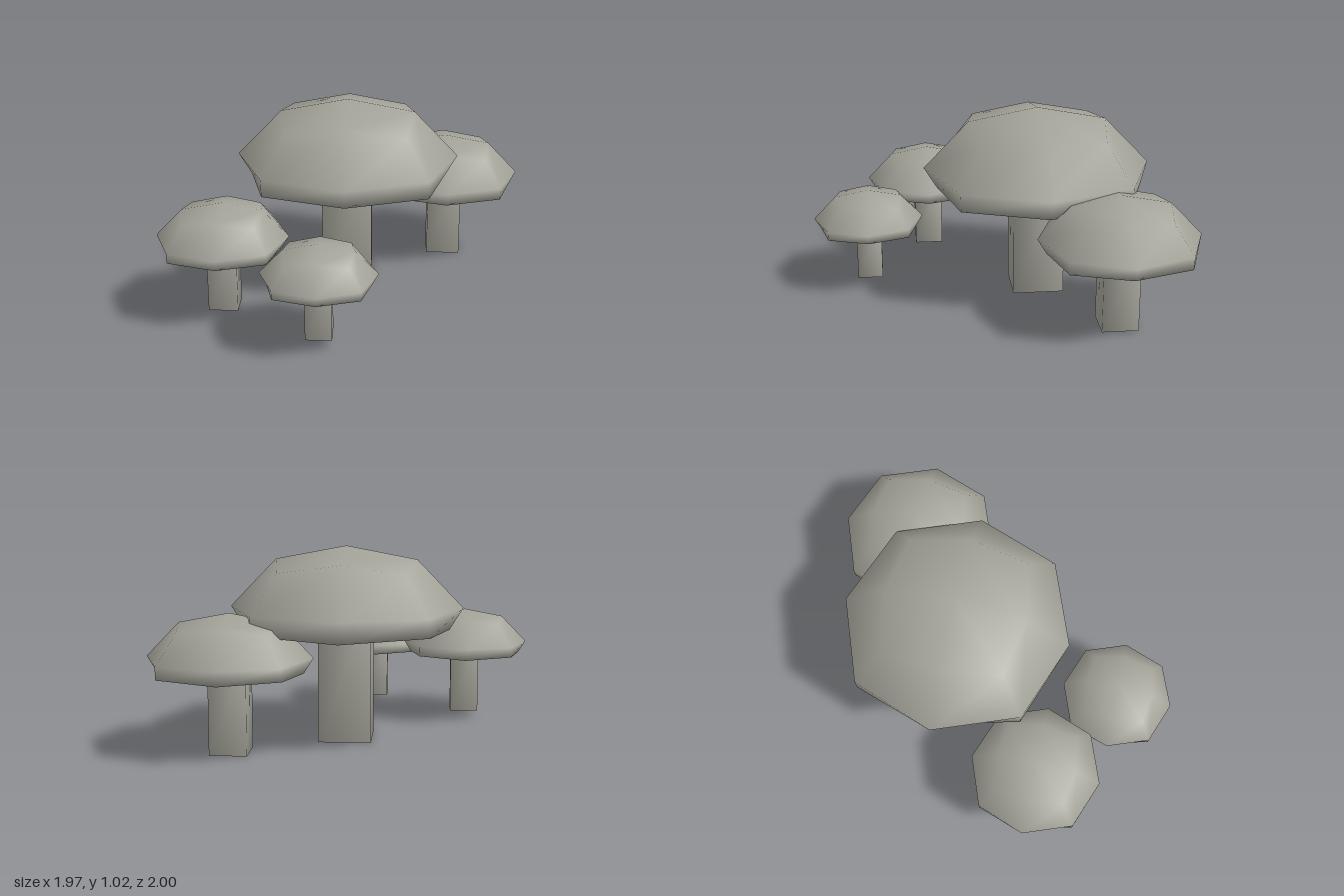
import * as THREE from 'three';
import { mergeVertices } from 'three/addons/utils/BufferGeometryUtils.js';

// Weld all corners so the normals run smoothly around the whole shape
function smooth(geometry) {
  geometry.deleteAttribute('normal');
  geometry.deleteAttribute('uv');
  const welded = mergeVertices(geometry);
  welded.computeVertexNormals();
  return welded;
}

// Cap of unit radius: a rounded cube, narrowed at the top and flattened below
function capGeometry() {
  const geometry = new THREE.BoxGeometry(2, 2, 2, 2, 2, 2);
  const pos = geometry.attributes.position;
  const v = new THREE.Vector3();
  for (let i = 0; i < pos.count; i++) {
    v.fromBufferAttribute(pos, i).normalize();
    let spread = 1, height = 0;
    if (v.y > 0.01) {
      spread = Math.abs(v.x * v.z) > 0.01 ? 0.91 : 0.855;
      height = v.y > 0.99 ? 0.525 : v.y * 0.58;
    } else if (v.y < -0.01) {
      spread = 1.25;
      height = v.y * 0.268;
    } else if (Math.abs(v.x * v.z) > 0.01) {
      spread = 1.027;
    }
    pos.setXYZ(i, v.x * spread, height, v.z * spread);
  }
  return smooth(geometry);
}

export function createModel() {
  const model = new THREE.Group();
  model.name = 'mushroomCluster';
  const stone = new THREE.MeshStandardMaterial({ color: 0xa3a399 });
  stone.name = 'stone grey';
  const cap = capGeometry();

  // x, z, cap radius, rim height, stem foot height, stem half width
  const mushrooms = [
    ['large', 0, -0.22, 0.613, 0.70, 0, 0.138],
    ['medium', 0.56, -0.575, 0.423, 0.488, 0, 0.096],
    ['small', -0.635, 0.35, 0.348, 0.437, 0.04, 0.078],
    ['tiny', -0.113, 0.70, 0.298, 0.387, 0.05, 0.068],
  ];

  for (const [size, x, z, radius, rim, foot, half] of mushrooms) {
    const mushroom = new THREE.Group();
    mushroom.name = size + 'Mushroom';
    mushroom.position.set(x, 0, z);

    const capMesh = new THREE.Mesh(cap, stone);
    capMesh.name = size + 'Cap';
    capMesh.scale.setScalar(radius);
    capMesh.position.y = rim;

    // Square stem reaching up inside the cap
    const stem = new THREE.Mesh(smooth(new THREE.BoxGeometry(half * 2, rim - foot, half * 2)), stone);
    stem.name = size + 'Stem';
    stem.position.y = (rim + foot) / 2;

    mushroom.add(capMesh, stem);
    model.add(mushroom);
  }
  return model;
}
